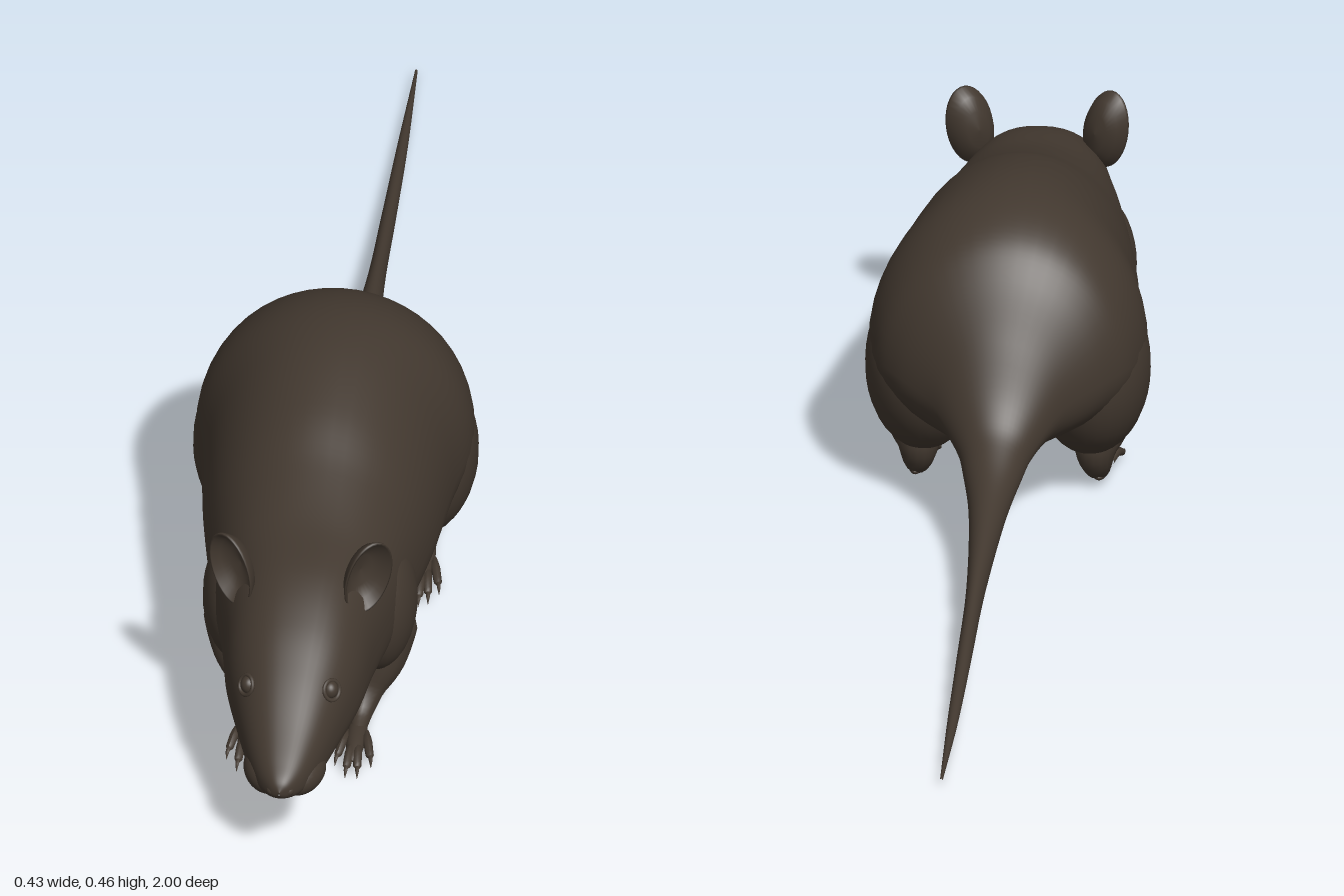
import * as THREE from 'three';

const fur = new THREE.MeshStandardMaterial({ color: 0x42382f });
fur.name = 'dark brown fur';

function add(parent, name, geometry) {
  const mesh = new THREE.Mesh(geometry, fur);
  mesh.name = name;
  parent.add(mesh);
  return mesh;
}

function ellipsoid(parent, name, pos, radii, rot = [0, 0, 0]) {
  const mesh = add(parent, name, new THREE.SphereGeometry(1, 28, 20));
  mesh.position.set(...pos);
  mesh.scale.set(...radii);
  mesh.rotation.set(...rot);
  return mesh;
}

// Tube whose radius follows the stations [x, y, z, r]
function limb(parent, name, stations, rings = 24, sides = 16) {
  const path = new THREE.CatmullRomCurve3(stations.map(s => new THREE.Vector3(s[0], s[1], s[2])));
  const geo = new THREE.TubeGeometry(path, rings, 1, sides);
  const pos = geo.attributes.position;
  const v = new THREE.Vector3();
  for (let i = 0; i <= rings; i++) {
    const centre = path.getPointAt(i / rings);
    const k = path.getUtoTmapping(i / rings) * (stations.length - 1);
    const a = Math.min(Math.floor(k), stations.length - 2);
    const r = THREE.MathUtils.lerp(stations[a][3], stations[a + 1][3], k - a);
    for (let j = 0; j <= sides; j++) {
      const n = i * (sides + 1) + j;
      v.fromBufferAttribute(pos, n).sub(centre).multiplyScalar(r).add(centre);
      pos.setXYZ(n, v.x, v.y, v.z);
    }
  }
  geo.computeVertexNormals();
  return add(parent, name, geo);
}

// Stations from tail tip to nose: z, top, bottom, half width, height of widest point
const bodyStations = [
  [-1, 0.012, 0.006, 0.002, 0.009],
  [-0.8, 0.027, 0.011, 0.008, 0.019],
  [-0.6, 0.051, 0.024, 0.011, 0.037],
  [-0.4, 0.082, 0.04, 0.014, 0.06],
  [-0.2, 0.122, 0.066, 0.027, 0.093],
  [-0.1, 0.163, 0.09, 0.044, 0.122],
  [-0.05, 0.208, 0.104, 0.06, 0.148],
  [0, 0.295, 0.112, 0.098, 0.19],
  [0.05, 0.378, 0.108, 0.158, 0.215],
  [0.1, 0.427, 0.1, 0.193, 0.222],
  [0.18, 0.455, 0.085, 0.208, 0.22],
  [0.28, 0.456, 0.07, 0.19, 0.215],
  [0.4, 0.43, 0.068, 0.175, 0.21],
  [0.5, 0.392, 0.08, 0.158, 0.21],
  [0.6, 0.362, 0.097, 0.138, 0.21],
  [0.7, 0.345, 0.104, 0.116, 0.205],
  [0.78, 0.314, 0.109, 0.102, 0.195],
  [0.85, 0.273, 0.113, 0.081, 0.182],
  [0.92, 0.225, 0.117, 0.057, 0.165],
  [0.965, 0.195, 0.131, 0.037, 0.158],
  [0.99, 0.177, 0.144, 0.018, 0.158],
  [1, 0.162, 0.156, 0.001, 0.159],
];

function bodyGeometry() {
  const rings = 132, sides = 48;
  const heights = new THREE.CatmullRomCurve3(
    bodyStations.map(s => new THREE.Vector3(s[0], s[1], s[2])), false, 'catmullrom', 0.5);
  const widths = new THREE.CatmullRomCurve3(
    bodyStations.map(s => new THREE.Vector3(s[0], s[3], s[4])), false, 'catmullrom', 0.5);
  const verts = [], index = [];
  for (let i = 0; i <= rings; i++) {
    const { x: z, y: top, z: bottom } = heights.getPoint(i / rings);
    const { y: half, z: mid } = widths.getPoint(i / rings);
    // The head is a little squarer than the rest
    const power = 1 - 0.14 * THREE.MathUtils.smoothstep(z, 0.4, 0.65);
    for (let j = 0; j < sides; j++) {
      const a = (j / sides) * Math.PI * 2;
      const c = Math.sign(Math.cos(a)) * Math.abs(Math.cos(a)) ** power;
      const s = Math.sign(Math.sin(a)) * Math.abs(Math.sin(a)) ** power;
      verts.push(half * c, mid + s * (s > 0 ? top - mid : mid - bottom), z);
      if (i < rings) {
        const p = i * sides + j, q = i * sides + ((j + 1) % sides);
        index.push(p, q, p + sides, q, q + sides, p + sides);
      }
    }
  }
  const geo = new THREE.BufferGeometry();
  geo.setAttribute('position', new THREE.Float32BufferAttribute(verts, 3));
  geo.setIndex(index);
  geo.computeVertexNormals();
  return geo;
}

// Flat paw with fanned toes and claws; z is the heel, length reaches the toe tips
function paw(parent, name, s, x, z, length, width, toes) {
  const group = new THREE.Group();
  group.name = name;
  parent.add(group);
  ellipsoid(group, 'sole', [s * x, 0.018, z + length * 0.45], [width * 0.62, 0.013, length * 0.45]);
  for (let i = 0; i < toes; i++) {
    const f = (i / (toes - 1)) * 2 - 1;
    const tx = s * x + f * width, tz = z + length * (1 - 0.22 * f * f);
    const sx = s * x + f * width * 0.5;
    limb(group, 'toe', [
      [sx, 0.018, tz - 0.055, 0.006],
      [(sx + tx) / 2, 0.022, tz - 0.028, 0.007],
      [tx, 0.013, tz - 0.004, 0.006],
      [tx + f * 0.002, 0.01, tz, 0.001],
    ], 10, 8);
    limb(group, 'claw', [
      [tx, 0.015, tz - 0.006, 0.0035],
      [tx + f * 0.002, 0.012, tz + 0.005, 0.0028],
      [tx + f * 0.003, 0.003, tz + 0.012, 0.0003],
    ], 6, 6);
  }
}

export function createModel() {
  const model = new THREE.Group();
  model.name = 'rodent';
  add(model, 'bodyHeadAndTail', bodyGeometry());

  // Nose tip and lower jaw
  ellipsoid(model, 'nose', [0, 0.163, 0.982], [0.019, 0.014, 0.015]);
  ellipsoid(model, 'lowerJaw', [0, 0.128, 0.905], [0.032, 0.016, 0.045]);

  // Cupped ear profile, back to rim to inside
  const earProfile = [[0, -0.022], [0.018, -0.019], [0.031, -0.009], [0.038, 0.006], [0.0385, 0.01],
    [0.036, 0.01], [0.029, -0.003], [0.017, -0.012], [0, -0.015]].map(p => new THREE.Vector2(...p));

  for (const s of [1, -1]) {
    const side = s > 0 ? 'left' : 'right';

    // Head details
    const ear = add(model, side + 'Ear', new THREE.LatheGeometry(earProfile, 32).rotateX(Math.PI / 2));
    ear.position.set(s * 0.098, 0.347, 0.695);
    ear.scale.set(1, 1.65, 1);
    ear.rotation.set(-0.12, s * 0.6, -s * 0.27, 'ZYX');
    ellipsoid(model, side + 'Eye', [s * 0.061, 0.247, 0.85], [0.012, 0.014, 0.013]);
    const lid = add(model, side + 'Eyelid', new THREE.TorusGeometry(0.0145, 0.003, 8, 24));
    lid.position.set(s * 0.064, 0.248, 0.853);
    lid.scale.set(1, 1.05, 1);
    lid.rotation.set(-0.42, s * 0.85, 0, 'YXZ');
    ellipsoid(model, side + 'WhiskerPad', [s * 0.026, 0.15, 0.925], [0.034, 0.031, 0.05], [0, -s * 0.3, 0]);
    ellipsoid(model, side + 'Nostril', [s * 0.012, 0.157, 0.985], [0.009, 0.009, 0.009]);

    // Front leg
    ellipsoid(model, side + 'Shoulder', [s * 0.1, 0.19, 0.545], [0.06, 0.11, 0.095]);
    limb(model, side + 'FrontLeg', [
      [s * 0.105, 0.2, 0.53, 0.03],
      [s * 0.11, 0.14, 0.54, 0.05],
      [s * 0.104, 0.09, 0.56, 0.039],
      [s * 0.09, 0.052, 0.582, 0.025],
      [s * 0.083, 0.026, 0.615, 0.016],
      [s * 0.081, 0.018, 0.66, 0.01],
    ]);
    paw(model, side + 'FrontPaw', s, 0.081, 0.59, 0.145, 0.024, 4);

    // Hind leg
    ellipsoid(model, side + 'Thigh', [s * 0.124, 0.19, 0.17], [0.089, 0.135, 0.115]);
    limb(model, side + 'HindLeg', [
      [s * 0.13, 0.16, 0.19, 0.05],
      [s * 0.135, 0.1, 0.175, 0.05],
      [s * 0.132, 0.06, 0.153, 0.031],
      [s * 0.134, 0.03, 0.165, 0.02],
      [s * 0.136, 0.019, 0.22, 0.011],
    ]);
    paw(model, side + 'HindPaw', s, 0.137, 0.145, 0.155, 0.025, 5);
  }
  return model;
}
